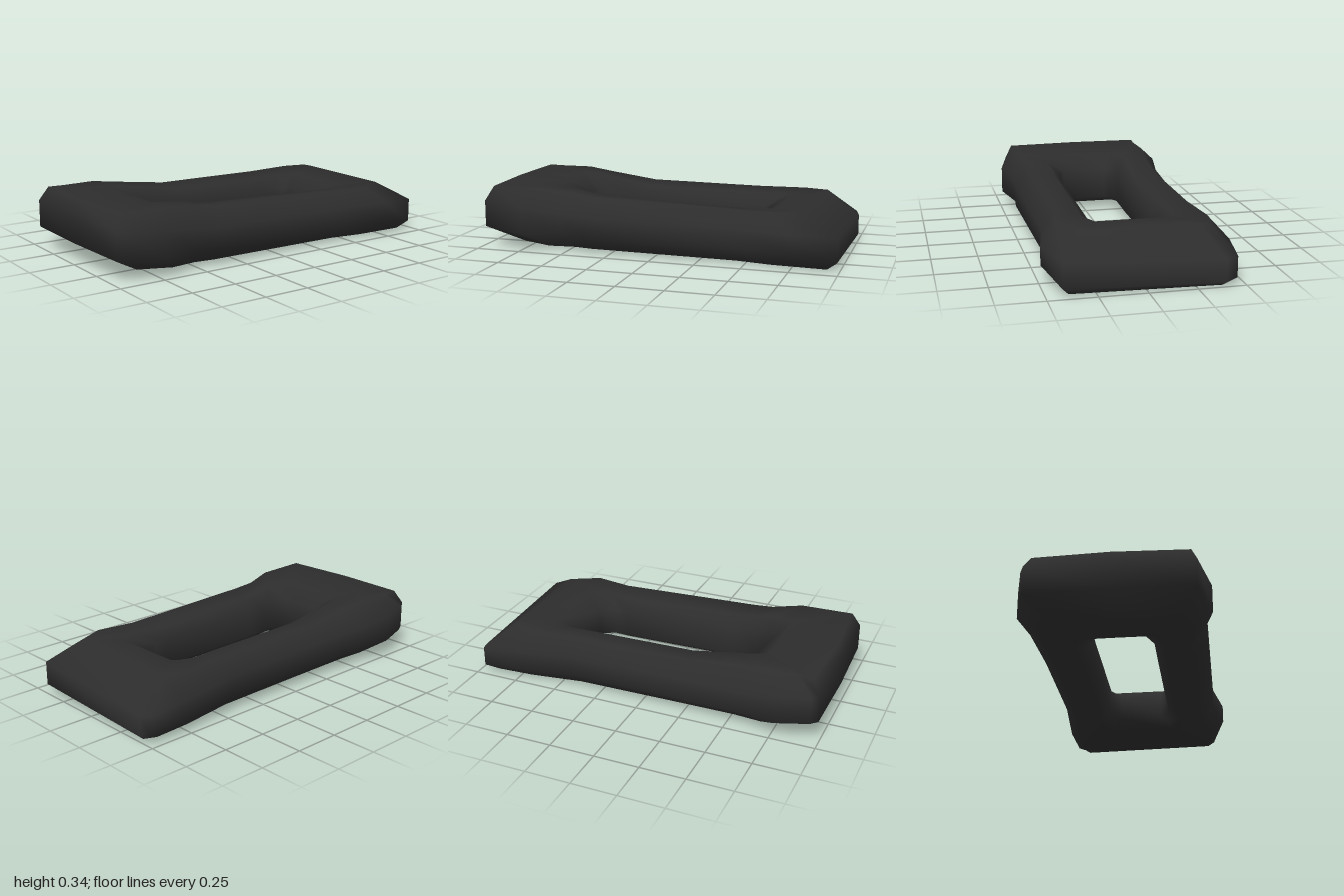
import * as THREE from 'three';

// Stations clockwise around the loop, each a slice from inner to outer edge:
// [innerX, innerZ, outerX, outerZ, topReach, bottomReach, wallLow, wallHigh]
const stations = [
  // left end and back left corner
  [-0.55, 0, -0.995, 0, 0.92, 0.57, 0.12, 0.29],
  [-0.55, -0.13, -0.99, -0.43, 0.9, 0.58, 0.12, 0.27],
  [-0.52, -0.155, -0.95, -0.45, 0.8, 0.64, 0.11, 0.26],
  [-0.48, -0.18, -0.77, -0.5, 0.68, 0.64, 0.1, 0.25],
  // back bar
  [-0.4, -0.18, -0.58, -0.47, 0.68, 0.66, 0.1, 0.22],
  [-0.22, -0.18, -0.25, -0.45, 0.7, 0.7, 0.09, 0.21],
  [0.35, -0.18, 0.42, -0.45, 0.7, 0.7, 0.09, 0.2],
  // back right corner, right end and front right corner
  [0.44, -0.18, 0.78, -0.48, 0.7, 0.76, 0.07, 0.18],
  [0.49, -0.15, 0.97, -0.46, 0.67, 0.86, 0.04, 0.15],
  [0.52, -0.13, 0.99, -0.4, 0.64, 0.95, 0.025, 0.14],
  [0.52, 0.12, 0.985, 0.42, 0.63, 0.88, 0.05, 0.18],
  [0.43, 0.17, 0.75, 0.49, 0.7, 0.65, 0.1, 0.2],
  // front bar
  [0.36, 0.17, 0.48, 0.44, 0.7, 0.68, 0.09, 0.2],
  [-0.3, 0.17, -0.4, 0.45, 0.7, 0.68, 0.09, 0.21],
  [-0.38, 0.17, -0.53, 0.44, 0.68, 0.66, 0.11, 0.22],
  // front left corner
  [-0.45, 0.17, -0.73, 0.49, 0.7, 0.62, 0.1, 0.25],
  [-0.55, 0.13, -0.98, 0.43, 0.9, 0.58, 0.12, 0.265],
];

// Eight-sided slice: t runs from the inner to the outer edge.
// The underside tilts slightly and the top rises toward the left end.
function slice([ix, iz, ox, oz, topT, botT, low, high]) {
  const y0 = 0.0125 - 0.0075 * ox;
  const y1 = 0.285 + 0.06 * THREE.MathUtils.clamp((-0.2 - ox) / 0.55, 0, 1);
  const h = y1 - y0;
  const profile = [
    [0, y0 + h * 0.18], [0, y0 + h * 0.72], [0.22, y1 - 0.015], [topT, y1],
    [1, high], [1, low], [botT, y0], [0.2, y0 + 0.01],
  ];
  return profile.map(([t, y]) => [ix + (ox - ix) * t, y, iz + (oz - iz) * t]);
}

// Joins the slices into a closed ring with smooth normals
function ringGeometry(rows) {
  const sides = 8;
  const positions = rows.flatMap(slice).flat();
  const index = [];
  rows.forEach((_, i) => {
    const a = i * sides;
    const b = ((i + 1) % rows.length) * sides;
    for (let j = 0; j < sides; j++) {
      const k = (j + 1) % sides;
      index.push(a + j, b + j, a + k, b + j, b + k, a + k);
    }
  });
  const geometry = new THREE.BufferGeometry();
  geometry.setAttribute('position', new THREE.Float32BufferAttribute(positions, 3));
  geometry.setIndex(index);
  geometry.computeVertexNormals();
  return geometry;
}

export function createModel() {
  const group = new THREE.Group();
  group.name = 'chainLink';
  const darkIron = new THREE.MeshStandardMaterial({ color: 0x2d2d2d });
  darkIron.name = 'dark iron';

  // One continuous rectangular loop with swollen corners
  const loop = new THREE.Mesh(ringGeometry(stations), darkIron);
  loop.name = 'linkLoop';
  group.add(loop);
  return group;
}
